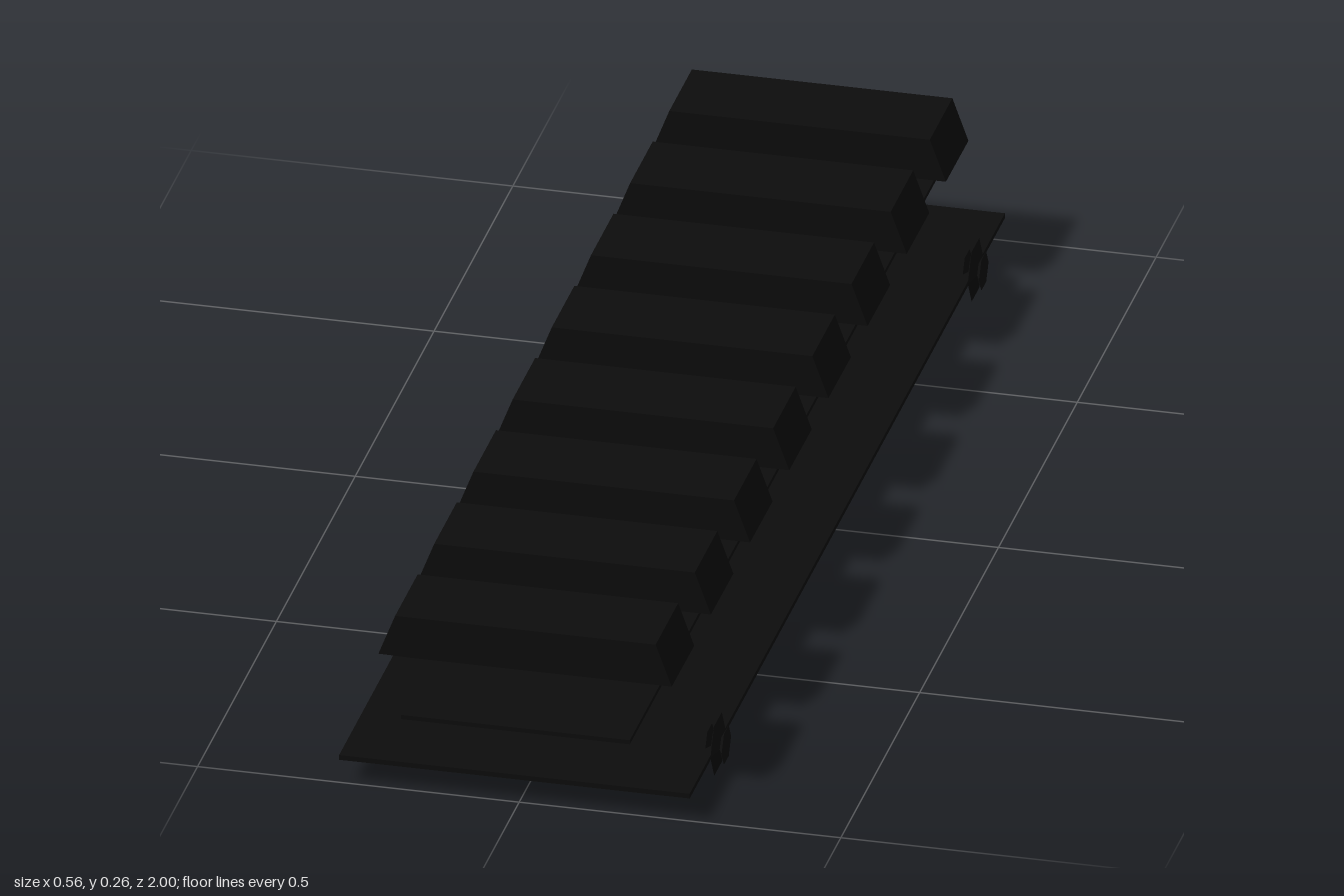
import * as THREE from 'three';

const black = new THREE.MeshStandardMaterial({ color: 0x0d0d0d });
black.name = 'matte black';

// Cross-section of a tooth, counter-clockwise seen from the front
const SECTION = [[0.223, 0.195], [0.198, 0.264], [-0.207, 0.264], [-0.233, 0.197], [-0.183, 0.15]];

// Tooth: full section at the back, underside rising to a level edge at the front
function toothGeometry(depth) {
  const front = SECTION.map(([x, y]) => [x, Math.max(y, 0.196), depth / 2]);
  const back = SECTION.map(([x, y]) => [x, y, -depth / 2]);
  const n = SECTION.length;
  const tris = [];
  for (let i = 0; i < n; i++) {
    const j = (i + 1) % n;
    tris.push(front[i], back[i], back[j], front[i], back[j], front[j]);
  }
  for (let i = 1; i < n - 1; i++) {
    tris.push(front[0], front[i], front[i + 1], back[0], back[i + 1], back[i]);
  }
  const geo = new THREE.BufferGeometry();
  geo.setAttribute('position', new THREE.Float32BufferAttribute(tris.flat(), 3));
  geo.computeVertexNormals();
  return geo;
}

// Six-sided bolt head with a sharp middle flange and two smaller rims
function boltGeometry() {
  const profile = [[0, -0.013], [0.03, -0.013], [0.018, -0.007], [0.0485, 0], [0.018, 0.007], [0.03, 0.013], [0, 0.013]]
    .map(([r, y]) => new THREE.Vector2(r, y));
  const geo = new THREE.LatheGeometry(profile, 6).toNonIndexed();
  geo.rotateZ(-Math.PI / 2);
  geo.computeVertexNormals();
  return geo;
}

export function createModel() {
  const model = new THREE.Group();
  model.name = 'slottedRail';

  const add = (name, geometry, x, y, z) => {
    const mesh = new THREE.Mesh(geometry, black);
    mesh.name = name;
    mesh.position.set(x, y, z);
    model.add(mesh);
  };

  // Two thin plates running the full length
  add('basePlate', new THREE.BoxGeometry(0.545, 0.008, 2), -0.0075, 0.044, 0);
  add('middlePlate', new THREE.BoxGeometry(0.356, 0.007, 2), -0.006, 0.124, 0);

  // Row of eight cross teeth
  const tooth = toothGeometry(0.143);
  for (let i = 0; i < 8; i++) add('tooth' + (i + 1), tooth, 0, 0, 0.871 - i * 0.2485);

  // Bolt heads on the left edge
  const bolt = boltGeometry();
  add('frontBolt', bolt, 0.265, 0.044, 0.82);
  add('backBolt', bolt, 0.265, 0.044, -0.813);

  return model;
}
